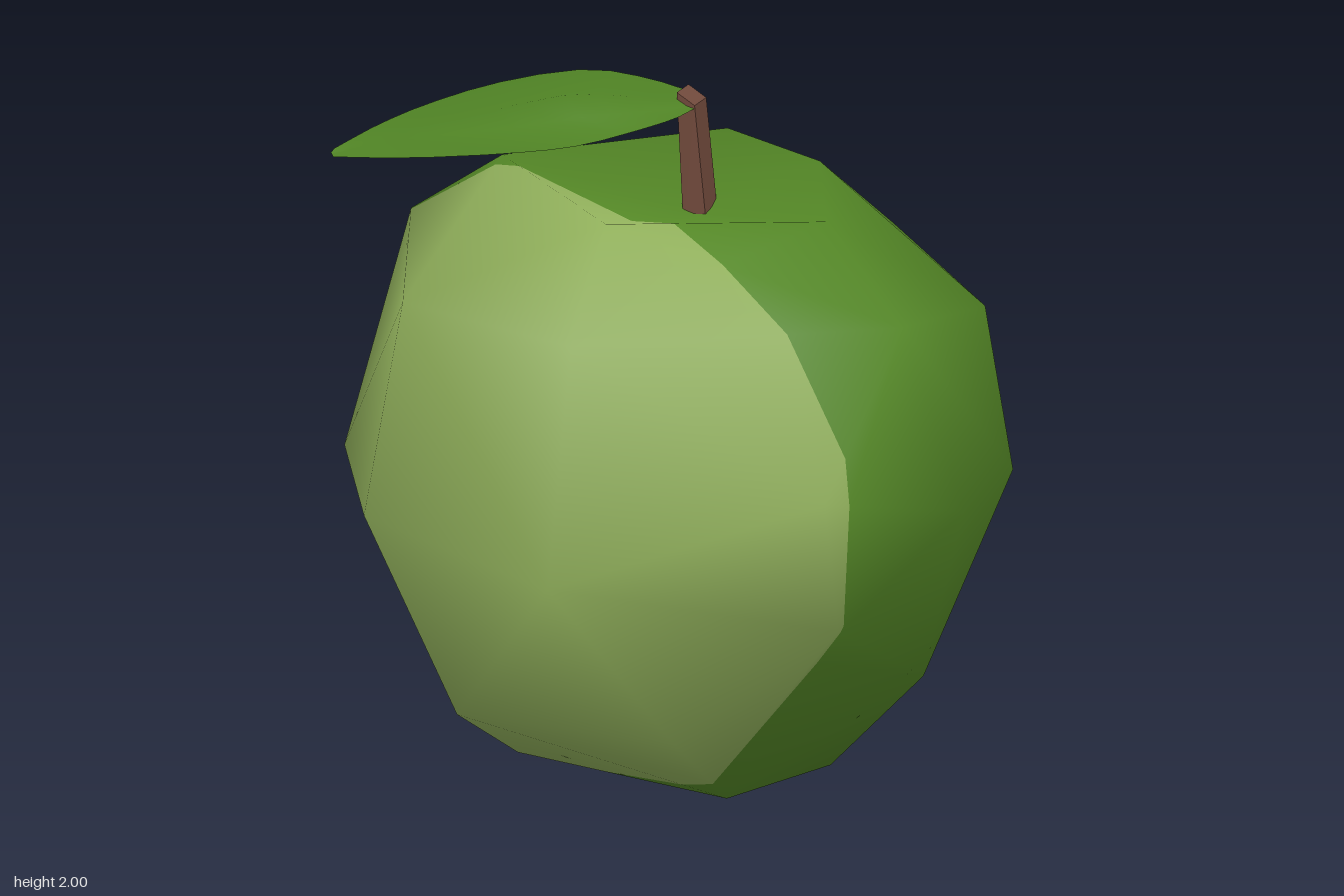
import * as THREE from 'three';
import { mergeVertices } from 'three/addons/utils/BufferGeometryUtils.js';
import { ConvexGeometry } from 'three/addons/geometries/ConvexGeometry.js';

const green = new THREE.MeshStandardMaterial({ color: 0x548726 });
green.name = 'skinGreen';
const leafGreen = new THREE.MeshStandardMaterial({ color: 0x4f8224, side: THREE.DoubleSide });
leafGreen.name = 'leafGreen';
const pale = new THREE.MeshStandardMaterial({ color: 0x8fae5a });
pale.name = 'paleGreen';
const brown = new THREE.MeshStandardMaterial({ color: 0x734b3d, flatShading: true });
brown.name = 'stemBrown';

const vectors = (list) => list.map((p) => new THREE.Vector3(...p));

// Irregular rings of corners of the fruit, from the base to the rim
const BASE = [[0.35, 0.005, -0.27], [-0.22, 0.045, -0.41], [-0.4, 0.09, 0.21], [0.26, 0.05, 0.27]];
const LOWER = [
  [0.62, 0.29, -0.3], [0.05, 0.24, -0.71], [-0.5, 0.32, -0.5],
  [-0.73, 0.33, -0.05], [-0.41, 0.32, 0.63], [0.25, 0.31, 0.63],
];
const WAIST = [
  [0.93, 0.94, 0.15], [0.71, 0.67, 0.54], [0.7, 1.06, 0.61], [-0.02, 0.81, 0.905], [-0.68, 0.88, 0.66],
  [-0.94, 0.92, 0.18], [-0.88, 0.95, -0.36], [-0.38, 1.07, -0.88], [0.33, 0.86, -0.91],
  [0.77, 0.9, -0.55], [0.93, 0.96, -0.21],
];
const SHOULDER = [
  [0.8, 1.5, 0.28], [0, 1.49, 0.78], [-0.6, 1.49, 0.57], [-0.8, 1.59, 0.03],
  [-0.36, 1.51, -0.72], [0.34, 1.46, -0.75], [0.82, 1.41, -0.27],
];
const RIM = [
  [0.5, 1.73, 0.12], [0, 1.78, 0.53], [-0.46, 1.83, 0.18], [-0.03, 1.785, -0.43], [0.28, 1.745, -0.36],
];

// Convex body whose flat top is replaced by a dimple around the stem
function bodyGeometry() {
  const hull = new ConvexGeometry(vectors([...BASE, ...LOWER, ...WAIST, ...SHOULDER, ...RIM]));
  hull.deleteAttribute('normal');
  const merged = mergeVertices(hull, 1e-4);
  const P = merged.attributes.position, I = merged.index;
  const center = P.count, index = [], capEdges = new Map();
  for (let t = 0; t < I.count; t += 3) {
    const tri = [0, 1, 2].map((k) => I.getX(t + k));
    if (tri.every((i) => P.getY(i) > 1.7)) {
      tri.forEach((a, k) => capEdges.set(a + '_' + tri[(k + 1) % 3], [a, tri[(k + 1) % 3]]));
    } else index.push(...tri);
  }
  for (const [a, b] of capEdges.values()) {
    if (!capEdges.has(b + '_' + a)) index.push(a, b, center);
  }
  const g = new THREE.BufferGeometry();
  g.setAttribute('position', new THREE.Float32BufferAttribute([...P.array, 0.01, 1.63, -0.11], 3));
  g.setIndex(index);
  g.computeVertexNormals();
  return g;
}

// Keeps the part of a smooth geometry where side(point) >= 0
function clip(geometry, side) {
  const P = geometry.attributes.position, N = geometry.attributes.normal, I = geometry.index;
  const pos = [], nor = [];
  const vert = (i) => {
    const p = new THREE.Vector3().fromBufferAttribute(P, i);
    return { p, n: new THREE.Vector3().fromBufferAttribute(N, i), s: side(p) };
  };
  for (let t = 0; t < I.count; t += 3) {
    const tri = [0, 1, 2].map((k) => vert(I.getX(t + k)));
    const poly = [];
    tri.forEach((a, k) => {
      const b = tri[(k + 1) % 3];
      if (a.s >= 0) poly.push(a);
      if ((a.s >= 0) !== (b.s >= 0)) {
        const u = a.s / (a.s - b.s);
        poly.push({ p: a.p.clone().lerp(b.p, u), n: a.n.clone().lerp(b.n, u).normalize() });
      }
    });
    for (let k = 1; k + 1 < poly.length; k++) {
      for (const v of [poly[0], poly[k], poly[k + 1]]) {
        pos.push(...v.p.toArray());
        nor.push(...v.n.toArray());
      }
    }
  }
  const g = new THREE.BufferGeometry();
  g.setAttribute('position', new THREE.Float32BufferAttribute(pos, 3));
  g.setAttribute('normal', new THREE.Float32BufferAttribute(nor, 3));
  return g;
}

// Leaf blade stretched over four curves: back edge, midrib, foot of the midrib, front edge
function leafGeometry() {
  const steps = 14;
  const curves = [
    [[0.01, 1.965, -0.15], [-0.15, 1.98, -0.19], [-0.35, 1.985, -0.2], [-0.6, 1.935, -0.14],
      [-0.77, 1.885, -0.02], [-0.86, 1.855, 0.13], [-0.93, 1.82, 0.28]],
    [[0.01, 1.96, -0.12], [-0.1, 1.985, -0.01], [-0.28, 2, 0.08], [-0.5, 1.945, 0.14],
      [-0.72, 1.88, 0.17], [-0.83, 1.845, 0.22], [-0.935, 1.81, 0.29]],
    [[0.015, 1.955, -0.1], [-0.06, 1.955, 0], [-0.21, 1.955, 0.12], [-0.43, 1.915, 0.19],
      [-0.7, 1.86, 0.21], [-0.82, 1.835, 0.25], [-0.93, 1.808, 0.295]],
    [[0.02, 1.95, -0.08], [0, 1.945, 0.02], [-0.08, 1.93, 0.14], [-0.2, 1.91, 0.27],
      [-0.36, 1.89, 0.335], [-0.7, 1.835, 0.335], [-0.92, 1.805, 0.31]],
  ].map((c) => new THREE.CatmullRomCurve3(vectors(c)).getPoints(steps));
  const n = curves.length, pos = [], index = [];
  for (let r = 0; r <= steps; r++) {
    for (let c = 0; c < n; c++) {
      pos.push(...curves[c][r].toArray());
      if (r < steps && c < n - 1) {
        const a = r * n + c;
        index.push(a, a + n, a + 1, a + 1, a + n, a + n + 1);
      }
    }
  }
  const g = new THREE.BufferGeometry();
  g.setAttribute('position', new THREE.Float32BufferAttribute(pos, 3));
  g.setIndex(index);
  g.computeVertexNormals();
  return g;
}

// Tapered, slightly leaning square post
function stemGeometry() {
  const g = new THREE.BoxGeometry(0.06, 0.4, 0.085);
  const p = g.attributes.position;
  for (let i = 0; i < p.count; i++) {
    const top = p.getY(i) > 0;
    const x = p.getX(i) * (top ? 0.9 : 1.2);
    const y = top ? 1.975 - 0.6 * x : 1.58;
    p.setXYZ(i, x + (top ? -0.007 : 0.012), y, p.getZ(i) + (top ? -0.113 : -0.138));
  }
  g.computeVertexNormals();
  return g;
}

function add(group, name, geometry, material) {
  const mesh = new THREE.Mesh(geometry, material);
  mesh.name = name;
  group.add(mesh);
}

export function createModel() {
  const model = new THREE.Group();
  model.name = 'apple';

  // Fruit: green skin and a pale front, parted by a slanted cut that bends forward at the top
  const body = bodyGeometry();
  const front = (p) => p.z - 0.28 - 0.335 * p.x - 0.27 * Math.max(0, p.y - 1.5);
  add(model, 'paleFront', clip(body, front), pale);
  add(model, 'greenSkin', clip(body, (p) => -front(p)), green);

  add(model, 'stem', stemGeometry(), brown);
  add(model, 'leaf', leafGeometry(), leafGreen);
  return model;
}
